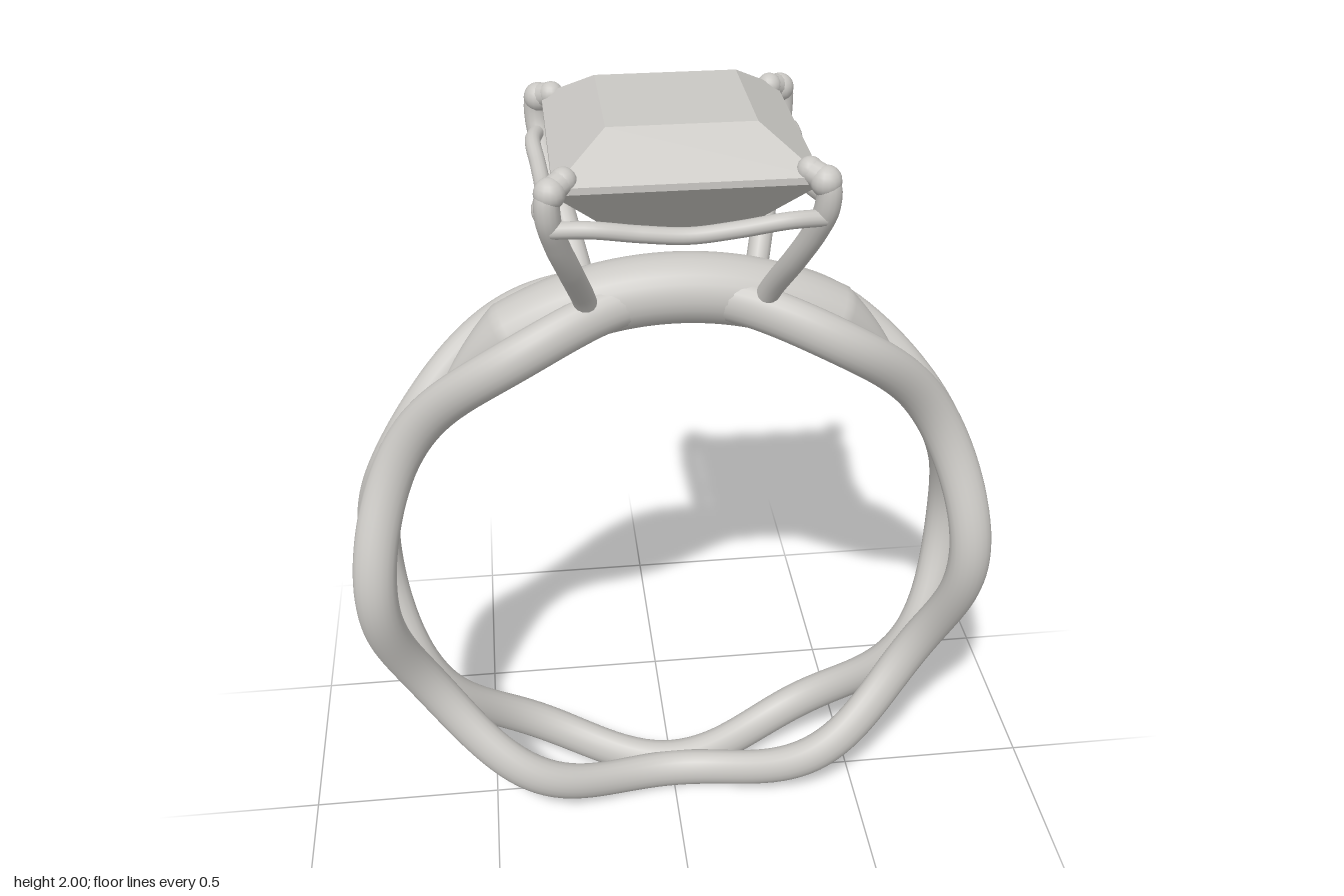
import * as THREE from 'three';
import { mergeVertices } from 'three/addons/utils/BufferGeometryUtils.js';

const RING_Y = 0.8, RING_R = 0.747;

// Bend a geometry by a rule on each vertex, then give it seamless smooth normals
function reshape(geometry, rule) {
  const p = geometry.attributes.position, v = new THREE.Vector3();
  for (let i = 0; i < p.count; i++) {
    rule(v.fromBufferAttribute(p, i));
    p.setXYZ(i, v.x, v.y, v.z);
  }
  geometry.deleteAttribute('uv');
  geometry.deleteAttribute('normal');
  const merged = mergeVertices(geometry, 1e-5);
  merged.computeVertexNormals();
  return merged;
}

function wire(points, radius, segments) {
  const curve = new THREE.CatmullRomCurve3(points.map(p => new THREE.Vector3(...p)));
  return new THREE.TubeGeometry(curve, segments, radius, 14);
}

export function createModel() {
  const model = new THREE.Group();
  model.name = 'ring';
  const silver = new THREE.MeshStandardMaterial({ color: 0xcac8c4 });
  silver.name = 'silver';

  const add = (name, geometry, parent = model) => {
    const mesh = new THREE.Mesh(geometry, silver);
    mesh.name = name;
    parent.add(mesh);
    return mesh;
  };

  // Two wavy strands that meet and part six times around the band
  for (const side of [-1, 1]) {
    const strand = reshape(new THREE.TorusGeometry(RING_R, 0.053, 20, 180), v => {
      const angle = Math.atan2(v.y, v.x);
      v.z = v.z * 0.83 + side * (0.066 + 0.045 * Math.cos(6 * angle));
    });
    add(side > 0 ? 'frontStrand' : 'backStrand', strand).position.y = RING_Y;
  }

  // Thick bar under the stone, with pointed ends between the strands
  const start = THREE.MathUtils.degToRad(43), arc = Math.PI - 2 * start;
  const taperLength = THREE.MathUtils.degToRad(17);
  const barR = 0.752;
  const bar = reshape(new THREE.TorusGeometry(barR, 0.082, 24, 94, arc).rotateZ(start), v => {
    const angle = Math.atan2(v.y, v.x);
    const fromEnd = Math.min(angle - start, start + arc - angle);
    const k = THREE.MathUtils.clamp(fromEnd / taperLength, 0, 1);
    const r = barR + (Math.hypot(v.x, v.y) - barR) * k;
    v.set(r * Math.cos(angle), r * Math.sin(angle), v.z * k);
  });
  add('bridgeBar', bar).position.y = RING_Y;

  // Four prongs with rounded claws folded over the stone's corners
  const prongPath = [
    [0.195, 1.52, 0.05], [0.212, 1.59, 0.095], [0.243, 1.70, 0.185],
    [0.27, 1.79, 0.245], [0.285, 1.86, 0.278], [0.282, 1.91, 0.278], [0.25, 1.928, 0.25],
  ];
  for (const sx of [-1, 1]) for (const sz of [-1, 1]) {
    const prong = new THREE.Group();
    prong.name = (sz > 0 ? 'front' : 'back') + (sx > 0 ? 'Left' : 'Right') + 'Prong';
    model.add(prong);
    const path = prongPath.map(([x, y, z]) => [sx * x, y, sz * z]);
    add('prongWire', wire(path, 0.027, 40), prong);
    add('clawTip', new THREE.SphereGeometry(0.028, 16, 12), prong).position.set(...path[6]);
    add('clawKnuckle', new THREE.SphereGeometry(0.033, 16, 12), prong)
      .position.set(sx * 0.279, 1.913, sz * 0.276);
  }

  // Sagging gallery rail on each side of the setting
  for (let i = 0; i < 4; i++) {
    const rail = wire([
      [-0.28, 1.835, 0.28], [-0.2, 1.84, 0.298], [-0.1, 1.823, 0.291], [0, 1.812, 0.286],
      [0.1, 1.823, 0.291], [0.2, 1.84, 0.298], [0.28, 1.835, 0.28],
    ], 0.018, 40);
    add('galleryRail', rail).rotation.y = i * Math.PI / 2;
  }

  // Square-cut stone with flat facets: half width and height from point to table
  const profile = [[0, 1.68], [0.135, 1.755], [0.272, 1.905], [0.272, 1.92], [0.157, 2.0], [0, 2.0]];
  const stone = new THREE.LatheGeometry(
    profile.map(([half, y]) => new THREE.Vector2(half * Math.SQRT2, y)), 4, Math.PI / 4,
  ).toNonIndexed();
  stone.computeVertexNormals();
  add('stone', stone);

  return model;
}
